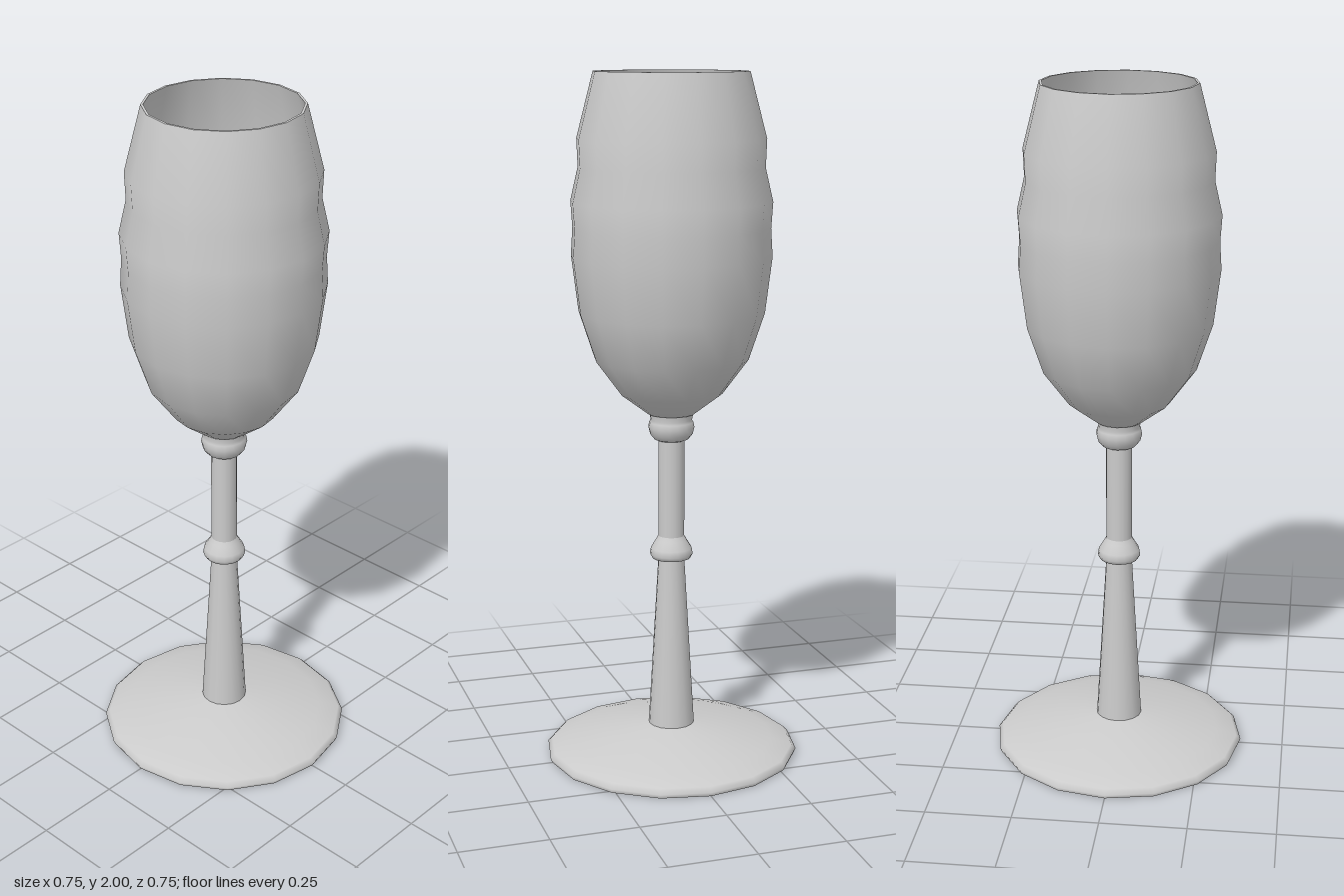
import * as THREE from 'three';

const SIDES = 16;
const material = new THREE.MeshStandardMaterial({ color: 0xcccccc, side: THREE.DoubleSide });

// Smooth turned part from [radius, height] pairs, listed bottom to top on the outside
function turned(name, profile) {
  const points = profile.map(([r, y]) => new THREE.Vector2(r, y));
  const mesh = new THREE.Mesh(new THREE.LatheGeometry(points, SIDES), material);
  mesh.name = name;
  return mesh;
}

export function createModel() {
  const glass = new THREE.Group();
  glass.name = 'goblet';

  // Foot: flat underside and a shallow dome rising to the stem
  glass.add(turned('footUnderside', [[0, 0], [0.368, 0]]));
  glass.add(turned('foot', [
    [0.368, 0], [0.373, 0.012], [0.36, 0.025], [0.3, 0.043],
    [0.2, 0.066], [0.12, 0.08], [0.066, 0.088],
  ]));

  // Stem: tapered lower shaft, bead, straight neck and collar
  glass.add(turned('lowerStem', [[0.068, 0.08], [0.038, 0.6]]));
  glass.add(turned('stemBead', [
    [0.036, 0.594], [0.056, 0.598], [0.063, 0.61], [0.06, 0.628], [0.045, 0.652], [0.038, 0.665],
  ]));
  glass.add(turned('upperStem', [[0.038, 0.655], [0.038, 0.96]]));
  glass.add(turned('stemCollar', [
    [0.036, 0.95], [0.05, 0.955], [0.062, 0.97], [0.067, 0.99],
    [0.064, 1.005], [0.06, 1.012], [0.064, 1.032],
  ]));

  // Bowl: thin wall with two gentle waves around the body
  const outer = [
    [0.068, 1.03], [0.148, 1.09], [0.222, 1.19], [0.267, 1.325], [0.287, 1.485],
    [0.282, 1.565], [0.287, 1.64], [0.265, 1.735], [0.268, 1.815], [0.22, 2],
  ];
  const inner = outer.slice(1, -1).map(([r, y]) => [r - 0.007, y + 0.004]).reverse();
  glass.add(turned('bowlOutside', outer));
  glass.add(turned('bowlRim', [[0.22, 2], [0.213, 2]]));
  glass.add(turned('bowlInside', [[0.213, 2], ...inner, [0.09, 1.055], [0.068, 1.038]]));
  glass.add(turned('bowlFloor', [[0.068, 1.038], [0, 1.038]]));
  return glass;
}
